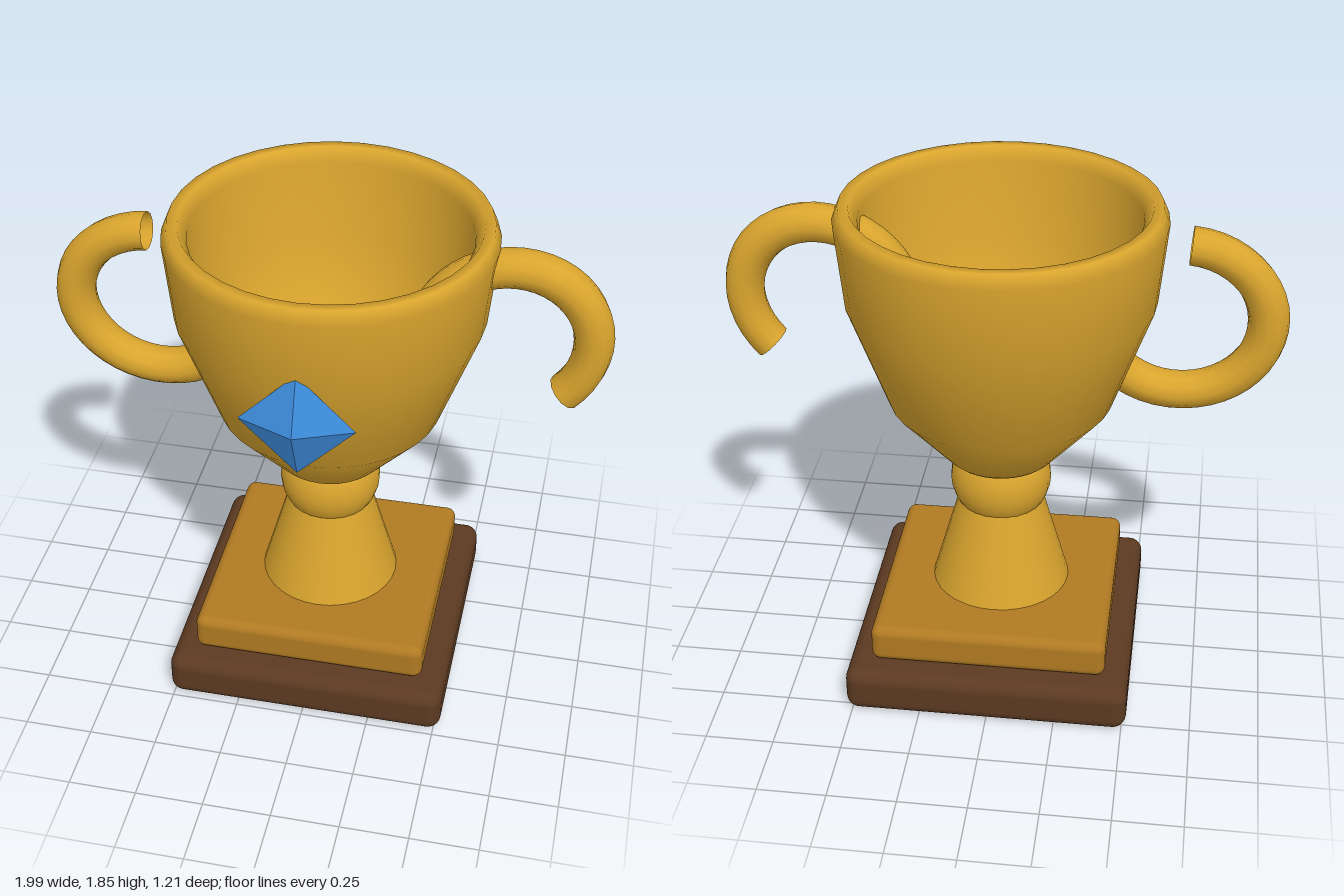
import * as THREE from 'three';
import { RoundedBoxGeometry } from 'three/addons/geometries/RoundedBoxGeometry.js';

const material = (name, color, side = THREE.FrontSide) => {
  const m = new THREE.MeshStandardMaterial({ color, side });
  m.name = name;
  return m;
};

export function createModel() {
  const gold = material('gold', 0xdaa52e, THREE.DoubleSide);
  const darkGold = material('dark gold', 0xb07a22);
  const brown = material('brown wood', 0x5c3a21);
  const blue = material('blue gem', 0x3d8bdb);
  blue.flatShading = true;

  const model = new THREE.Group();
  model.name = 'trophy';
  const axisX = 0.004, axisZ = -0.027;

  const add = (name, geometry, mat, x, y, z) => {
    const mesh = new THREE.Mesh(geometry, mat);
    mesh.name = name;
    mesh.position.set(x, y, z);
    model.add(mesh);
    return mesh;
  };

  // Two stacked slabs
  add('base', new RoundedBoxGeometry(1.04, 0.175, 1.04, 4, 0.05), brown, axisX, 0.0875, axisZ);
  add('plinth', new RoundedBoxGeometry(0.865, 0.145, 0.865, 4, 0.035), darkGold, axisX, 0.2475, axisZ);

  // Tapered stem and ball
  add('stem', new THREE.CylinderGeometry(0.15, 0.257, 0.38, 32), gold, axisX, 0.51, axisZ);
  add('stemBall', new THREE.SphereGeometry(0.186, 24, 16), gold, axisX, 0.762, axisZ);

  // Hollow cup: outer wall, rim, then inner wall down to the bowl floor
  const profile = [
    [0, 0.855], [0.19, 0.858], [0.204, 0.87], [0.404, 1.103], [0.548, 1.503],
    [0.577, 1.8], [0.556, 1.85], [0.52, 1.85], [0.49, 1.8], [0.47, 1.5],
    [0.34, 1.1], [0, 0.93],
  ].map(([r, y]) => new THREE.Vector2(r, y));
  add('cup', new THREE.LatheGeometry(profile, 36), gold, axisX, 0, axisZ);

  // Open ring handles: one slightly flattened arc, turned differently on each side
  const handleGeometry = new THREE.TorusGeometry(0.304, 0.072, 12, 28, 4.0);
  handleGeometry.rotateZ(1.65);
  handleGeometry.scale(1, 0.925, 1);
  add('rightHandle', handleGeometry, gold, -0.625, 1.447, axisZ);
  add('leftHandle', handleGeometry, gold, 0.628, 1.45, axisZ).rotation.z = -2.4;

  // Faceted gem set in the front of the cup
  const gem = add('gem', new THREE.OctahedronGeometry(0.2), blue, 0.003, 1.39, 0.522);
  gem.scale.z = 0.4;

  return model;
}
